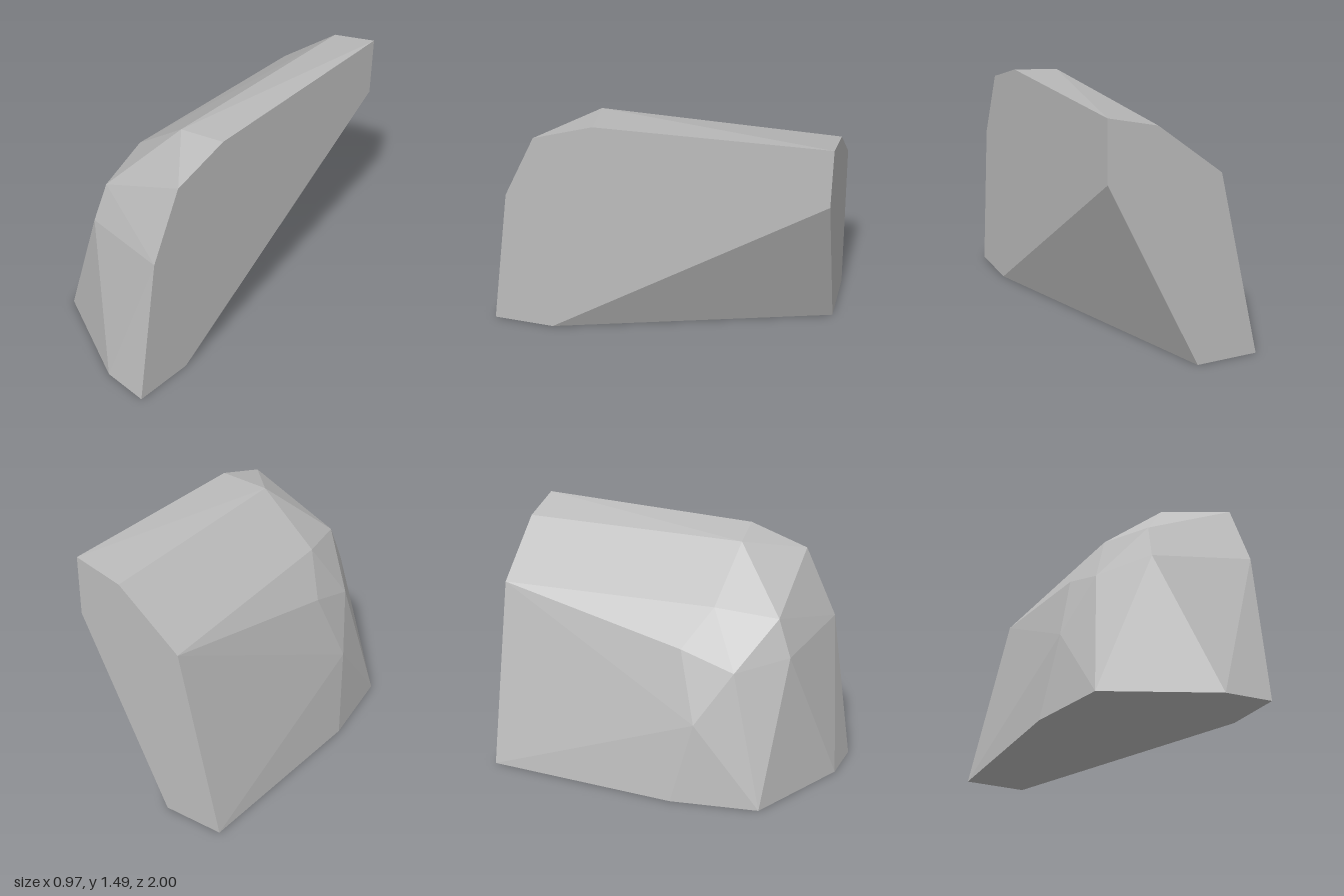
import * as THREE from 'three';
import { ConvexGeometry } from 'three/addons/geometries/ConvexGeometry.js';

export function createModel() {
  const group = new THREE.Group();
  group.name = 'rockChunk';

  const stone = new THREE.MeshStandardMaterial({ color: 0xbcbcbc });
  stone.name = 'grey stone';

  const S = 0.485; // flat cut side
  const corners = [
    // flat side, from the back top round to the undercut
    [S, 1.485, -1], [S, 1.435, 0.33], [S, 1.315, 0.68], [S, 0.91, 0.87],
    [S, 0, 1], [S, 0, 0.63], [S, 1.13, -1],
    // flat back
    [0.2, 1.413, -1], [-0.18, 1.108, -1], [-0.43, 0, -1], [-0.06, 0, -1],
    // crown and shoulder
    [0.205, 1.402, 0.36], [-0.162, 1.12, 0.32], [-0.307, 0.895, 0.17],
    // front facets
    [-0.303, 0.79, 0.49], [-0.07, 1.065, 0.68], [-0.095, 0.845, 0.76], [-0.425, 0.485, 0.29],
    // foot
    [-0.41, 0, 0.69], [0.205, 0, 0.985], [-0.488, 0, 0.17],
  ].map((p) => new THREE.Vector3(...p));

  // faceted boulder, flat-shaded by its separate face normals
  const rock = new THREE.Mesh(new ConvexGeometry(corners), stone);
  rock.name = 'rock';
  group.add(rock);
  return group;
}
